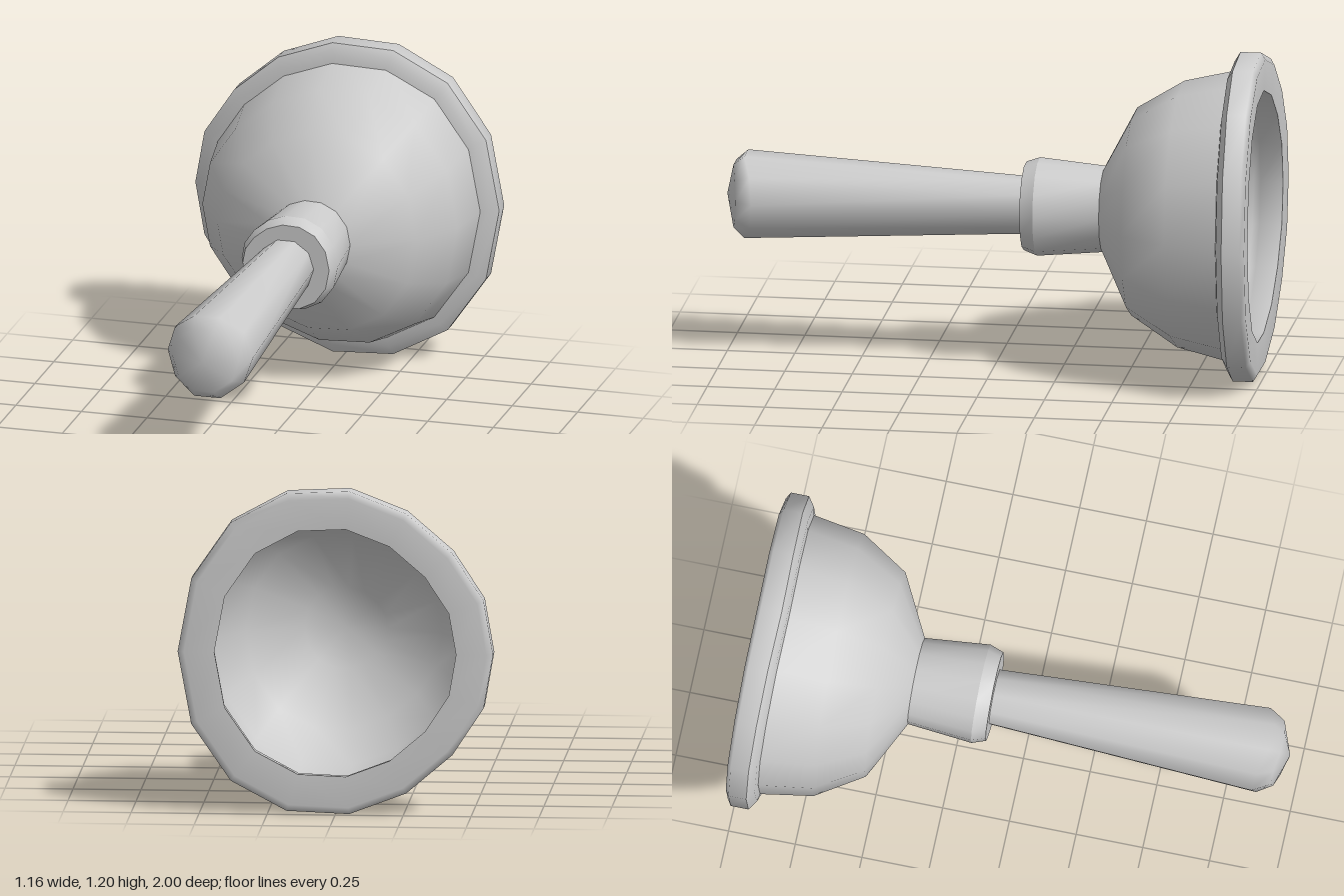
import * as THREE from 'three';
import { mergeVertices } from 'three/addons/utils/BufferGeometryUtils.js';

const material = new THREE.MeshStandardMaterial({ color: 0xcccccc });
const AXIS_Y = 0.6;

// Slightly uneven 16-sided ring: upper half listed, lower half mirrored
const upper = [[0.58, 0], [0.53, 0.27], [0.385, 0.48], [0.18, 0.59], [-0.05, 0.6],
  [-0.26, 0.52], [-0.43, 0.375], [-0.545, 0.2], [-0.58, 0]];
const lower = upper.slice(1, -1).reverse().map(([x, y]) => [x, -y]);
const rubberRing = [...upper, ...lower].map(([x, y]) => [x / 0.6, y / 0.6]);

// The same ring a little wider, for the cup's middle and the collar
const widen = (ring, k) => ring.map(([x, y]) => [x * k, y]);
const collarRing = widen(rubberRing, 1.06);

// Regular 10-sided ring for the handle
const handleRing = Array.from({ length: 10 }, (_, i) => {
  const a = (i / 10) * Math.PI * 2;
  return [Math.cos(a), Math.sin(a)];
});

// Skin a ring along z; each section is [z, radius, backward bend at the sides, x stretch]
function skin(name, ring, sections) {
  const n = ring.length, positions = [], index = [];
  for (const [z, r, bend = 0, stretch = 1] of sections) {
    for (const [x, y] of widen(ring, stretch)) {
      positions.push(x * r, y * r + AXIS_Y, z - bend * Math.abs(x));
    }
  }
  for (let s = 0; s < sections.length - 1; s++) {
    for (let i = 0; i < n; i++) {
      const j = (i + 1) % n;
      const a = s * n + i, b = s * n + j, c = a + n, d = b + n;
      if (sections[s + 1][1] > 0) index.push(a, c, d);
      if (sections[s][1] > 0) index.push(a, d, b);
    }
  }
  let geometry = new THREE.BufferGeometry();
  geometry.setAttribute('position', new THREE.Float32BufferAttribute(positions, 3));
  geometry.setIndex(index);
  geometry = mergeVertices(geometry);
  geometry.computeVertexNormals();
  const mesh = new THREE.Mesh(geometry, material);
  mesh.name = name;
  return mesh;
}

export function createModel() {
  const group = new THREE.Group();
  group.name = 'plunger';

  // Tapered handle with a blunt rounded tip
  group.add(skin('handle', handleRing, [
    [1.0, 0], [0.98, 0.126, 0.028], [0.948, 0.163, 0.06], [-0.13, 0.105],
  ]));

  // Socket collar: flat end, bevelled lip and tapering sleeve
  group.add(skin('collarEnd', collarRing, [[-0.107, 0.08], [-0.107, 0.161]]));
  group.add(skin('collarLip', collarRing, [[-0.107, 0.161], [-0.158, 0.179]]));
  group.add(skin('collarSleeve', collarRing, [[-0.158, 0.179], [-0.41, 0.156]]));

  // Outer shell of the cup
  group.add(skin('cup', rubberRing, [
    [-0.4, 0.156, 0, 1.06], [-0.515, 0.378, 0, 1.04], [-0.69, 0.485, 0, 1.04], [-0.92, 0.54],
  ]));

  // Thick rim: front shoulder, then outer wall and back face
  group.add(skin('rimShoulder', rubberRing, [
    [-0.868, 0.52, 0.015], [-0.873, 0.565, 0.02], [-0.893, 0.6, 0.025],
  ]));
  group.add(skin('rim', rubberRing, [
    [-0.893, 0.6, 0.025], [-0.972, 0.6, 0.012], [-0.987, 0.575, 0.012], [-0.983, 0.46, 0.012],
  ]));

  // Hollow inside of the cup, undercut behind the lip
  group.add(skin('cupInside', rubberRing, [
    [-0.983, 0.46, 0.012], [-0.91, 0.468], [-0.88, 0.5], [-0.695, 0.465, 0, 1.04],
    [-0.53, 0.36, 0, 1.04], [-0.42, 0.15, 0, 1.06], [-0.415, 0],
  ]));

  return group;
}
